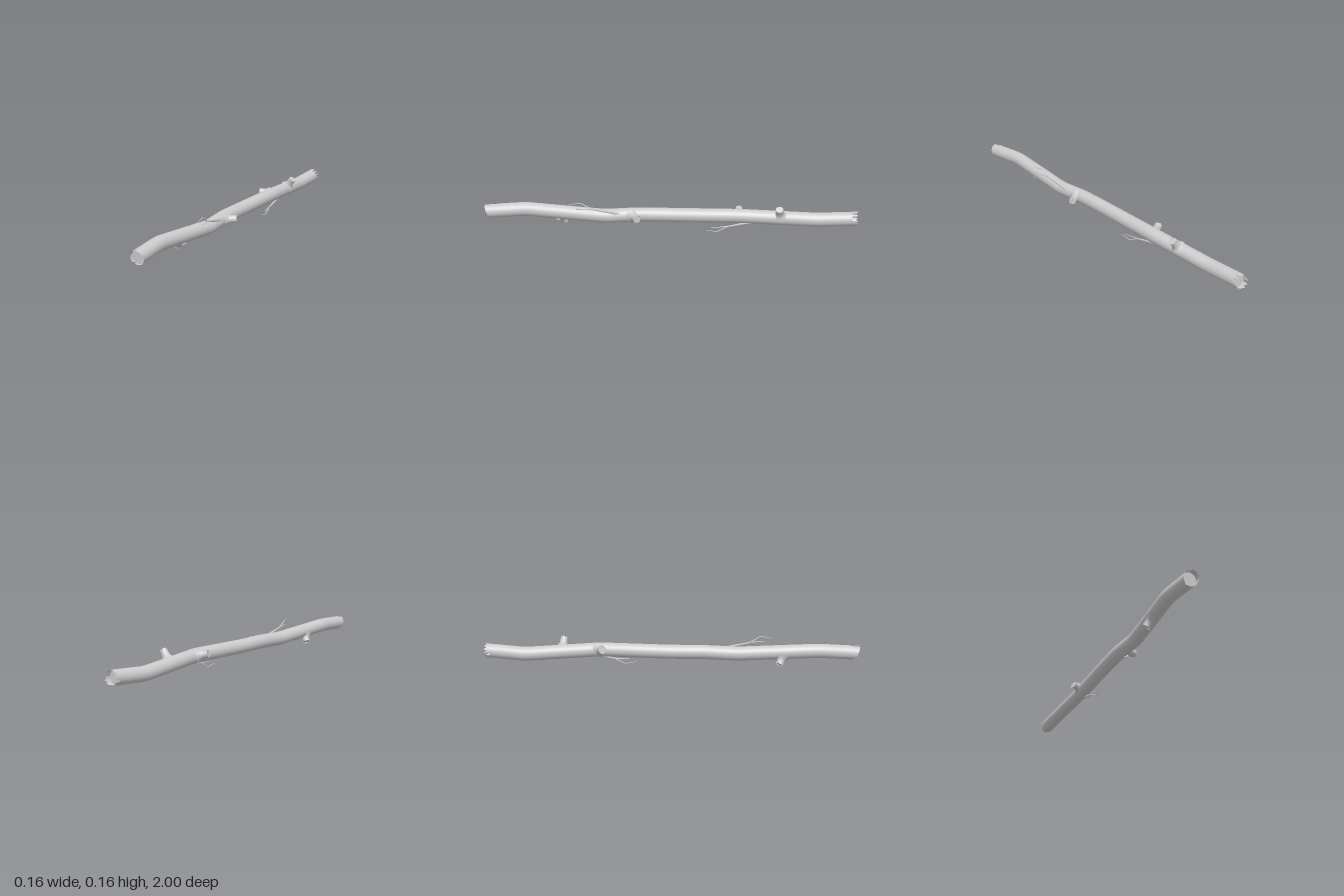
import * as THREE from 'three';
import { mergeVertices } from 'three/addons/utils/BufferGeometryUtils.js';

const material = new THREE.MeshStandardMaterial({ color: 0xcccccc, side: THREE.DoubleSide });
const V = (x, y, z) => new THREE.Vector3(x, y, z);
const RADIUS = 0.0375;
const SIDES = 40;

// Bent centre line of the log: [z, x, y]
const BENDS = [
  [-1, -0.008, 0.084], [-0.78, -0.021, 0.068], [-0.38, 0.003, 0.09], [0, -0.011, 0.083],
  [0.17, -0.01, 0.083], [0.35, -0.002, 0.073], [0.78, -0.022, 0.097], [1, -0.008, 0.084],
];

function bend(z) {
  let i = 0;
  while (i < BENDS.length - 2 && z > BENDS[i + 1][0]) i++;
  const [a, b] = [BENDS[i], BENDS[i + 1]];
  const t = (z - a[0]) / (b[0] - a[0]);
  return V(a[1] + (b[1] - a[1]) * t, a[2] + (b[2] - a[2]) * t, z);
}

// Slightly rounded bends
function centre(z) {
  const p = V(0, 0, 0);
  for (let k = -2; k <= 2; k++) p.add(bend(z + k * 0.012));
  return p.divideScalar(5).setZ(z);
}

function smooth(geometry) {
  geometry.deleteAttribute('uv');
  geometry.deleteAttribute('normal');
  const merged = mergeVertices(geometry, 1e-5);
  merged.computeVertexNormals();
  return merged;
}

function addMesh(parent, name, geometry) {
  const mesh = new THREE.Mesh(geometry, material);
  mesh.name = name;
  parent.add(mesh);
  return mesh;
}

// Closed cylinder between two points
function rod(from, to, radius) {
  const d = to.clone().sub(from);
  const g = new THREE.CylinderGeometry(radius, radius, d.length(), 24);
  g.applyQuaternion(new THREE.Quaternion().setFromUnitVectors(V(0, 1, 0), d.normalize()));
  const mid = from.clone().add(to).multiplyScalar(0.5);
  return g.translate(mid.x, mid.y, mid.z);
}

// Where the bark breaks off at either end, with narrow splits (side index: depth)
const SPLITS = { front: { 11: 0.1, 26: 0.02 }, back: { 1: 0.09, 4: 0.1, 7: 0.09, 22: 0.06, 31: 0.03 } };
function barkEnd(front, side, angle) {
  const edge = front ? 0.987 + 0.013 * Math.sin(angle) : 0.992 + 0.008 * Math.sin(side * 1.9);
  return edge - ((front ? SPLITS.front : SPLITS.back)[side] || 0);
}

function barkGeometry() {
  const g = new THREE.CylinderGeometry(RADIUS, RADIUS, 2, SIDES, 80, true).rotateX(Math.PI / 2);
  const pos = g.attributes.position;
  for (let i = 0; i < pos.count; i++) {
    const [x, y] = [pos.getX(i), pos.getY(i)];
    let z = pos.getZ(i);
    const angle = Math.atan2(y, x);
    const side = (Math.round((angle / (2 * Math.PI)) * SIDES) + SIDES) % SIDES;
    const over = Math.abs(z) - 0.8;
    if (over > 0) z = Math.sign(z) * (0.8 + (over / 0.2) * (barkEnd(z > 0, side, angle) - 0.8));
    const c = centre(z);
    pos.setXYZ(i, c.x + x, c.y + y, z);
  }
  return smooth(g);
}

// Broken branch stub: flared collar, split rim and a wooden core
function addStub(parent, name, base, tip) {
  const stub = new THREE.Group();
  stub.name = name;
  const length = tip.distanceTo(base);
  const profile = [
    [0.037, 0.024], [0.03, 0.034], [0.0245, 0.041], [0.021, 0.049], [0.0195, length - 0.012], [0.0205, length],
  ].map(([r, h]) => new THREE.Vector2(r, h));
  const g = new THREE.LatheGeometry(profile, 30);
  const pos = g.attributes.position;
  for (let i = 0; i < pos.count; i++) {
    const side = Math.floor(i / profile.length) % 30;
    if (i % profile.length === profile.length - 1) {
      pos.setY(i, length + 0.0015 * Math.sin(side * 2.1) - (side % 7 === 3 ? 0.011 : 0));
    }
  }
  addMesh(stub, name + 'Bark', smooth(g));
  addMesh(stub, name + 'Core', rod(V(0, 0.02, 0), V(0, length - 0.003, 0), 0.0192));
  stub.position.copy(base);
  stub.quaternion.setFromUnitVectors(V(0, 1, 0), tip.clone().sub(base).normalize());
  parent.add(stub);
}

// Thin tapering shoot along a polyline
function shoot(points, r0, r1) {
  const path = new THREE.CurvePath();
  for (let i = 1; i < points.length; i++) path.add(new THREE.LineCurve3(points[i - 1], points[i]));
  const steps = 16, sides = 6;
  const g = new THREE.TubeGeometry(path, steps, 1, sides, false);
  const pos = g.attributes.position;
  const p = V(0, 0, 0);
  for (let i = 0; i < pos.count; i++) {
    const t = Math.floor(i / (sides + 1)) / steps;
    const c = path.getPointAt(t);
    p.fromBufferAttribute(pos, i).sub(c).multiplyScalar(r0 + (r1 - r0) * t).add(c);
    pos.setXYZ(i, p.x, p.y, p.z);
  }
  return smooth(g);
}

function addTwig(parent, name, root, fork, bentTip, straightTip) {
  const twig = new THREE.Group();
  twig.name = name;
  addMesh(twig, name + 'Stem', shoot([root, fork], 0.008, 0.0042));
  addMesh(twig, name + 'BentShoot', shoot([fork, ...bentTip], 0.004, 0.0012));
  addMesh(twig, name + 'StraightShoot', shoot([fork, straightTip], 0.004, 0.001));
  parent.add(twig);
}

export function createModel() {
  const model = new THREE.Group();
  model.name = 'fallenLog';

  // Log
  addMesh(model, 'bark', barkGeometry());
  addMesh(model, 'frontCore', rod(centre(0.83), centre(0.968), 0.0355));
  addMesh(model, 'backCore', rod(centre(-0.83), centre(-0.965), 0.0355));

  // Branch stubs
  addStub(model, 'lowerRightStub', centre(0.6), V(-0.046, 0.026, 0.574));
  addStub(model, 'leftStub', centre(0.212), V(0.066, 0.083, 0.172));
  addStub(model, 'rightStub', centre(-0.395), V(-0.069, 0.104, -0.363));
  addStub(model, 'upperLeftStub', centre(-0.585), V(0.041, 0.145, -0.577));

  // Forked twigs
  addTwig(model, 'upperTwig', V(0.022, 0.095, 0.27), V(0.035, 0.125, 0.42),
    [V(0.04, 0.158, 0.475), V(0.045, 0.148, 0.54)], V(0.054, 0.13, 0.51));
  addTwig(model, 'lowerTwig', V(0.016, 0.06, -0.43), V(0.023, 0.036, -0.31),
    [V(0.026, 0.006, -0.25), V(0.03, 0.016, -0.19)], V(0.033, 0.029, -0.215));

  return model;
}
